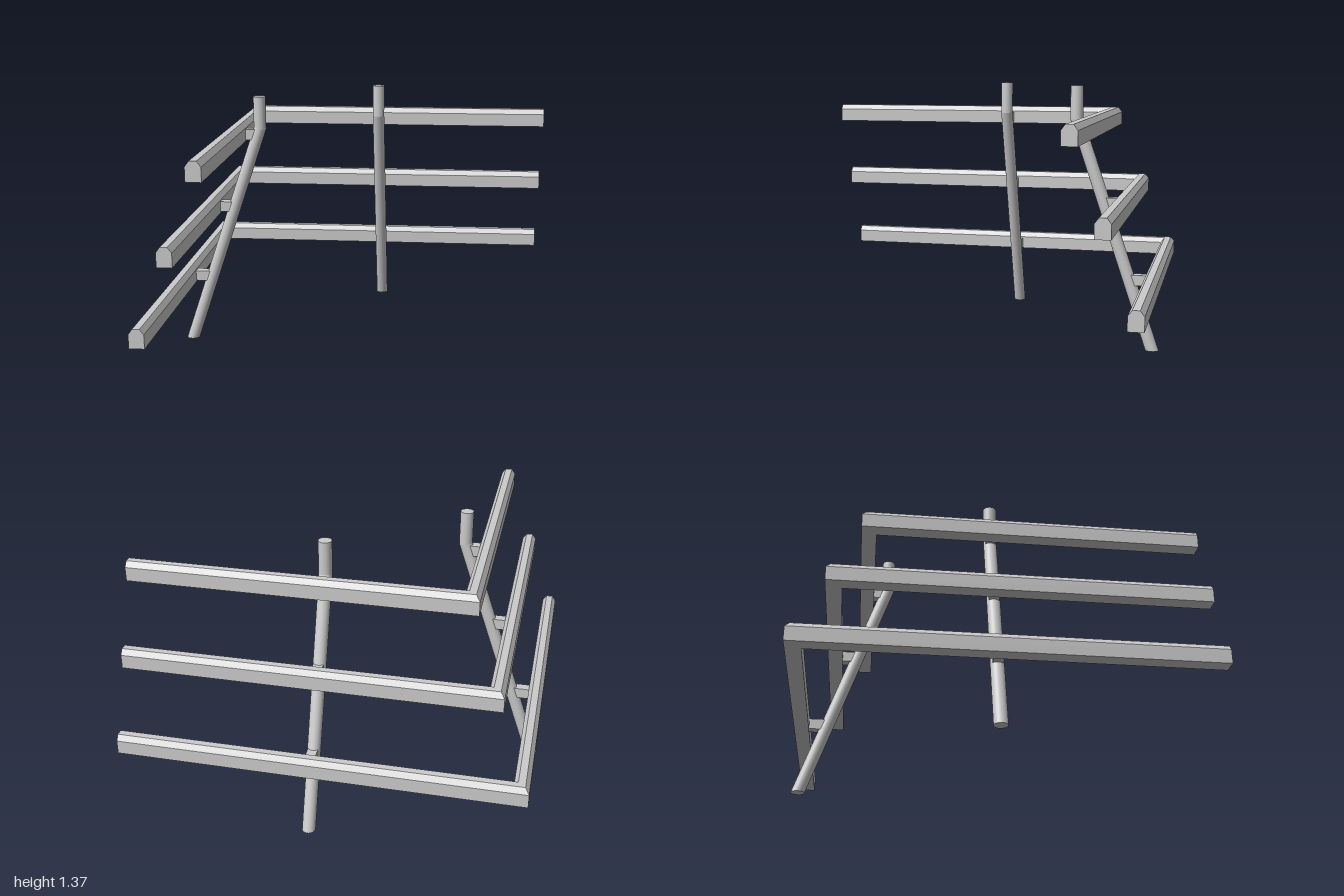
import * as THREE from 'three';

const material = new THREE.MeshStandardMaterial({ color: 0xcccccc });
const RAIL_W = 0.075;
const RAILS = [[-1, 0.335], [-0.85, 0.733], [-0.7, 1.132]]; // outer face x, bottom y
const POST_R = 0.033, POST_OFFSET = -0.05;
const FOOT_X = -0.96, TOP_X = -0.55, BEND_Y = 1.2, TOP_Y = 1.37;
const SLOPE = (TOP_X - FOOT_X) / BEND_Y;

function part(name, geometry) {
  const mesh = new THREE.Mesh(geometry, material);
  mesh.name = name;
  return mesh;
}

// Chamfer-topped rail along z; each end is placed by a rule of x so the corner is mitred
function railGeometry(x, y, zStart, zEnd) {
  const profile = [[0, 0], [RAIL_W, 0], [RAIL_W, 0.07], [0.055, 0.097], [0.02, 0.097], [0, 0.07]];
  const shape = new THREE.Shape(profile.map(([u, v]) => new THREE.Vector2(x + u, y + v)));
  const geometry = new THREE.ExtrudeGeometry(shape, { depth: 1, bevelEnabled: false });
  const p = geometry.attributes.position;
  for (let i = 0; i < p.count; i++) {
    p.setZ(i, p.getZ(i) < 0.5 ? zStart(p.getX(i)) : zEnd(p.getX(i)));
  }
  geometry.computeVertexNormals();
  return geometry;
}

// Round leaning lower shaft: level foot, mitred at the bend
function shaftGeometry() {
  const angle = Math.atan(SLOPE), miter = Math.tan(angle / 2);
  const geometry = new THREE.CylinderGeometry(POST_R, POST_R, 1, 32);
  const p = geometry.attributes.position;
  for (let i = 0; i < p.count; i++) {
    const x = p.getX(i);
    if (p.getY(i) > 0) p.setXYZ(i, TOP_X + x, BEND_Y - x * miter, p.getZ(i));
    else p.setXYZ(i, FOOT_X + x / Math.cos(angle), 0, p.getZ(i));
  }
  // lean the side normals with the shaft
  const n = geometry.attributes.normal;
  for (let i = 0; i < n.count; i++) {
    if (Math.abs(n.getY(i)) > 0.5) continue;
    const nx = n.getX(i);
    n.setXYZ(i, nx * Math.cos(angle), -nx * Math.sin(angle), n.getZ(i));
  }
  return geometry;
}

// Upright top of the post, its lower ring matching the mitre
function postTopGeometry() {
  const miter = Math.tan(Math.atan(SLOPE) / 2);
  const geometry = new THREE.CylinderGeometry(POST_R, POST_R, 1, 32);
  const p = geometry.attributes.position;
  for (let i = 0; i < p.count; i++) {
    const x = p.getX(i);
    p.setXYZ(i, TOP_X + x, p.getY(i) > 0 ? TOP_Y : BEND_Y - x * miter, p.getZ(i));
  }
  return geometry;
}

// One fence side: post, brackets and three rails
function createSide(name, zStart, zEnd) {
  const side = new THREE.Group();
  side.name = name;

  const post = new THREE.Group();
  post.name = 'post';
  post.add(part('postShaft', shaftGeometry()), part('postTop', postTopGeometry()));
  post.position.z = POST_OFFSET;
  side.add(post);

  RAILS.forEach(([x, y], i) => {
    side.add(part(`rail${i + 1}`, railGeometry(x, y, zStart, zEnd)));

    // bracket from the rail's inner face into the post
    const by = y + 0.035;
    const x0 = x + RAIL_W - 0.005, x1 = FOOT_X + by * SLOPE;
    const bracket = part(`bracket${i + 1}`, new THREE.BoxGeometry(x1 - x0, 0.055, 0.05));
    bracket.position.set((x0 + x1) / 2, by, POST_OFFSET);
    side.add(bracket);
  });
  return side;
}

export function createModel() {
  const model = new THREE.Group();
  model.name = 'cornerFence';
  const right = createSide('rightSide', x => x, () => 1);
  const back = createSide('backSide', () => -1, x => -x);
  back.rotation.y = -Math.PI / 2;
  model.add(right, back);
  return model;
}
